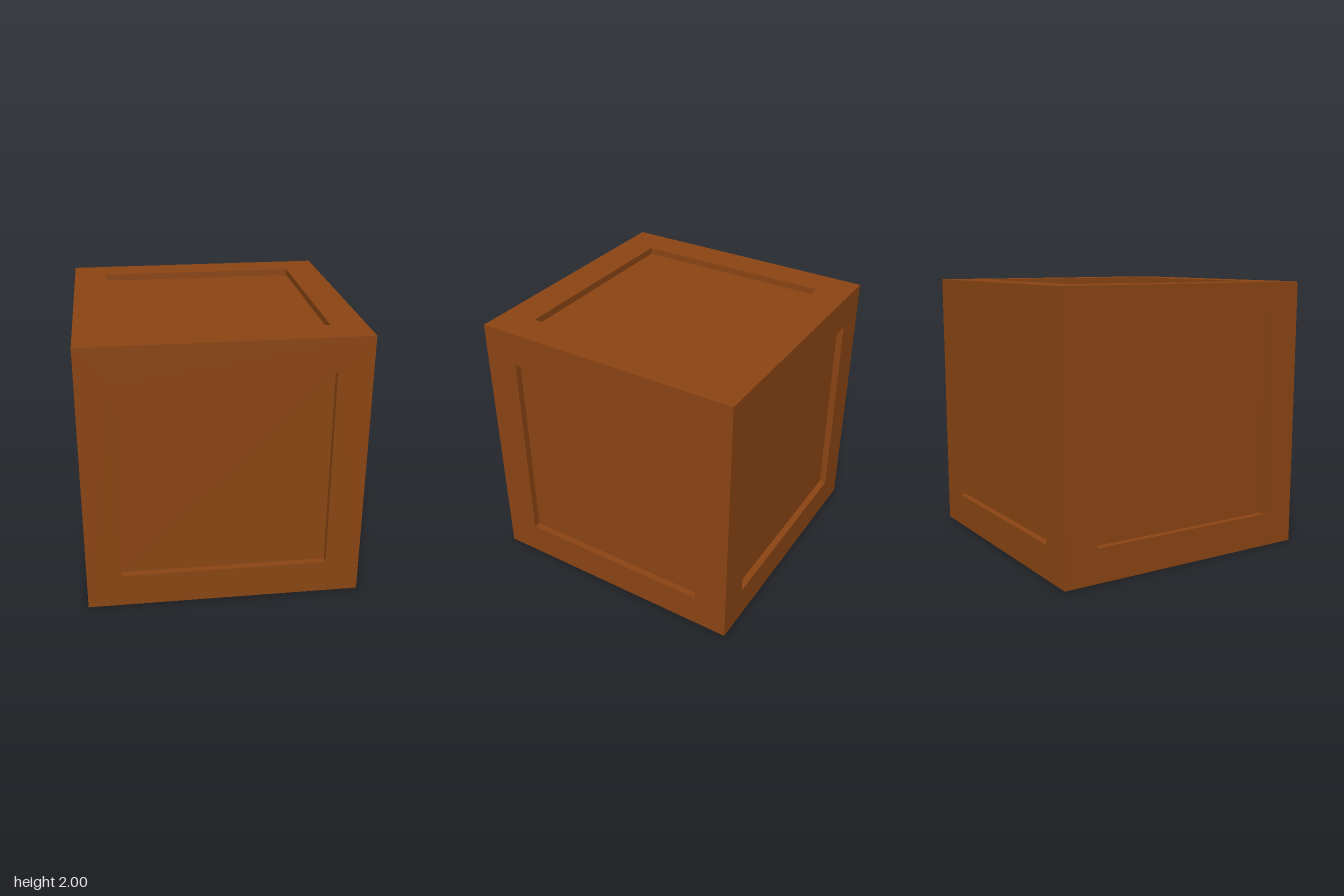
import * as THREE from 'three';
import { mergeGeometries } from 'three/addons/utils/BufferGeometryUtils.js';

const HALF = 1;       // half the crate's edge
const DEPTH = 0.05;   // how far the panels sit back
const PX = 0.75, PY = 0.75, PZ = 0.745; // half sizes of the panels along each axis

function rectangle(PathType, w, h) {
  return new PathType([[-w, -h], [w, -h], [w, h], [-w, h]].map(([x, y]) => new THREE.Vector2(x, y)));
}

// Flat frame around the panel, facing +z
function frameGeometry(w, h) {
  const shape = rectangle(THREE.Shape, HALF, HALF);
  shape.holes.push(rectangle(THREE.Path, w, h));
  return new THREE.ShapeGeometry(shape).translate(0, 0, HALF);
}

// Four inward-facing walls between frame and panel
function rimGeometry(w, h) {
  const z = HALF - DEPTH / 2;
  return mergeGeometries([
    new THREE.PlaneGeometry(DEPTH, 2 * h).rotateY(Math.PI / 2).translate(-w, 0, z),
    new THREE.PlaneGeometry(DEPTH, 2 * h).rotateY(-Math.PI / 2).translate(w, 0, z),
    new THREE.PlaneGeometry(2 * w, DEPTH).rotateX(-Math.PI / 2).translate(0, -h, z),
    new THREE.PlaneGeometry(2 * w, DEPTH).rotateX(Math.PI / 2).translate(0, h, z),
  ]);
}

function createSide(name, w, h, material) {
  const side = new THREE.Group();
  side.name = name;
  const add = (part, geometry) => {
    const mesh = new THREE.Mesh(geometry, material);
    mesh.name = part;
    side.add(mesh);
  };
  add('frame', frameGeometry(w, h));
  add('recessRim', rimGeometry(w, h));
  add('panel', new THREE.PlaneGeometry(2 * w, 2 * h).translate(0, 0, HALF - DEPTH));
  return side;
}

export function createModel() {
  const crate = new THREE.Group();
  crate.name = 'crate';
  const wood = new THREE.MeshStandardMaterial({ color: 0x8b4513 });
  const q = Math.PI / 2;

  // name, panel half width and height, rotation about x and y
  const sides = [
    ['frontSide', PX, PY, 0, 0],
    ['backSide', PX, PY, 0, 2 * q],
    ['leftSide', PZ, PY, 0, q],
    ['rightSide', PZ, PY, 0, -q],
    ['topSide', PX, PZ, -q, 0],
    ['bottomSide', PX, PZ, q, 0],
  ];
  for (const [name, w, h, rx, ry] of sides) {
    const side = createSide(name, w, h, wood);
    side.rotation.set(rx, ry, 0);
    side.position.y = HALF;
    crate.add(side);
  }
  return crate;
}
